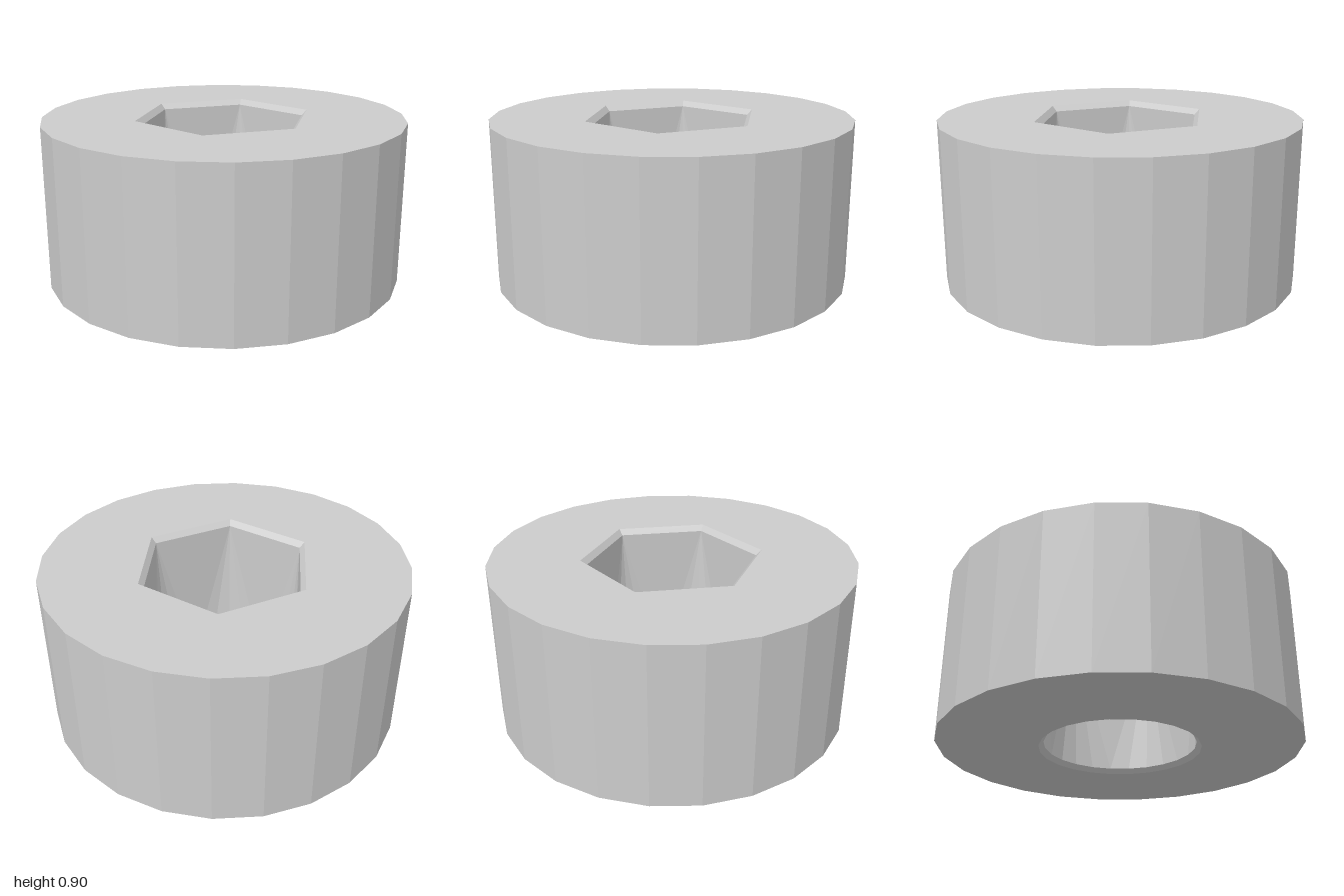
import * as THREE from 'three';

const SIDES = 24;
const HEIGHT = 0.905;

// Ring of 24 points; angles start at +z
function roundRing(radius, y) {
  return Array.from({ length: SIDES }, (_, i) => {
    const a = (i / SIDES) * Math.PI * 2;
    return new THREE.Vector3(Math.sin(a) * radius, y, Math.cos(a) * radius);
  });
}

// Hexagon with each of the 24 points snapped to its nearest corner
function hexRing(radius, y) {
  const ring = roundRing(radius, y);
  return ring.map((_, i) => ring[(Math.round(i / 4) * 4) % SIDES]);
}

// Flat-shaded band of triangles between two rings
function band(name, a, b, material) {
  const points = [];
  const addTriangle = (p, q, r) => {
    if (!p.equals(q) && !q.equals(r) && !r.equals(p)) points.push(p, q, r);
  };
  for (let i = 0; i < SIDES; i++) {
    const j = (i + 1) % SIDES;
    addTriangle(a[i], a[j], b[j]);
    addTriangle(a[i], b[j], b[i]);
  }
  const geometry = new THREE.BufferGeometry().setFromPoints(points);
  geometry.computeVertexNormals();
  const mesh = new THREE.Mesh(geometry, material);
  mesh.name = name;
  return mesh;
}

export function createModel() {
  const group = new THREE.Group();
  group.name = 'hexSocketCollar';
  const material = new THREE.MeshStandardMaterial({ color: 0xcccccc, flatShading: true });

  // Cross-section rings, followed up the outside and down through the bore
  const outerBottom = roundRing(1, 0);
  const outerTop = roundRing(1, HEIGHT);
  const hexRim = hexRing(0.5, HEIGHT);
  const hexThroat = hexRing(0.47, HEIGHT - 0.03);
  const roundThroat = roundRing(0.42, 0.025);
  const roundRim = roundRing(0.447, 0);

  group.add(
    band('outerWall', outerBottom, outerTop, material),
    band('topFace', outerTop, hexRim, material),
    band('hexChamfer', hexRim, hexThroat, material),
    band('boreWall', hexThroat, roundThroat, material), // hexagon blending to round
    band('roundChamfer', roundThroat, roundRim, material),
    band('bottomFace', roundRim, outerBottom, material),
  );
  return group;
}
